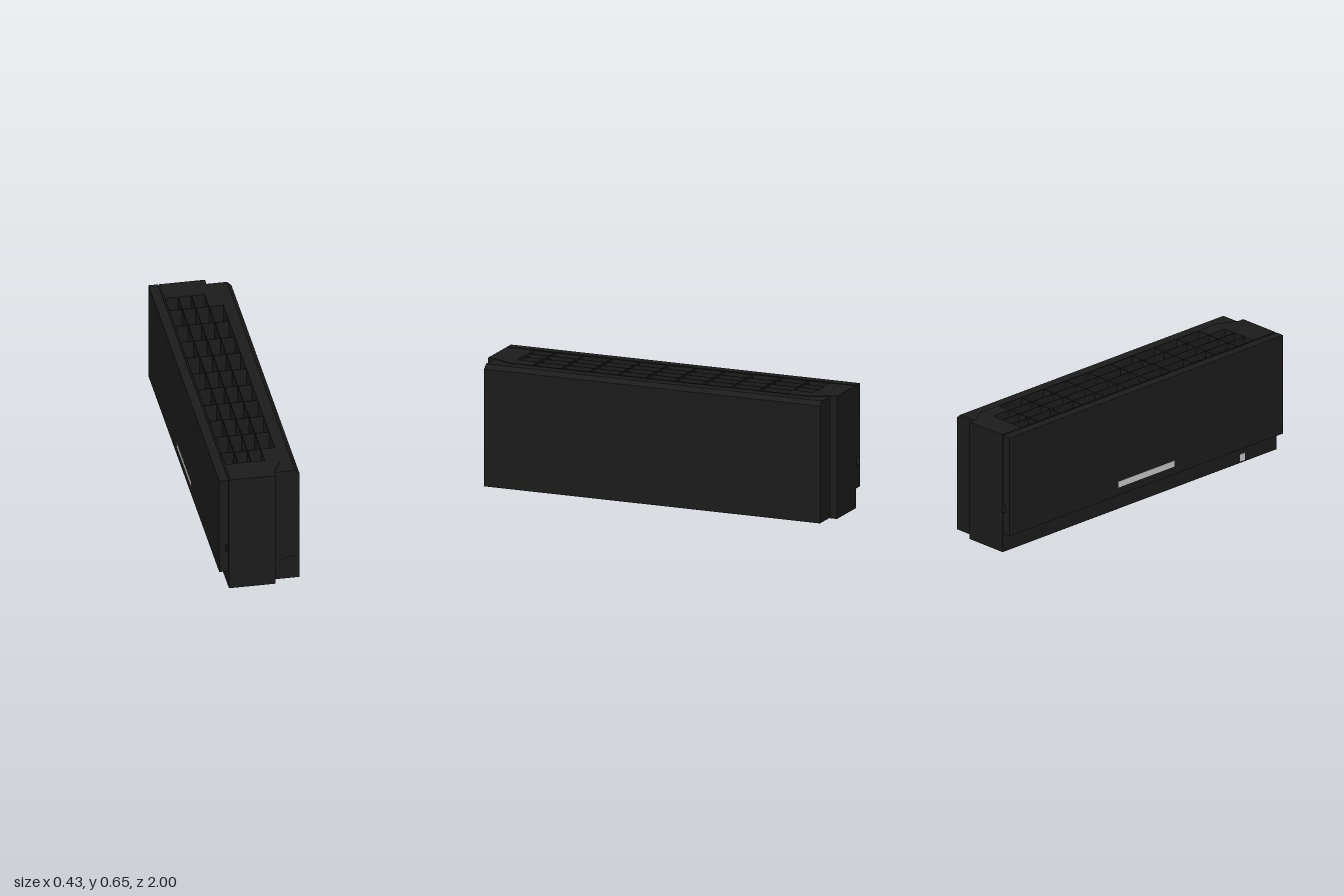
import * as THREE from 'three';

const dark = new THREE.MeshStandardMaterial({ color: 0x1c1c1c, flatShading: true });
const pale = new THREE.MeshStandardMaterial({ color: 0xcccccc });

export function createModel() {
  const model = new THREE.Group();

  const add = (name, geometry, material = dark) => {
    const mesh = new THREE.Mesh(geometry, material);
    mesh.name = name;
    model.add(mesh);
    return mesh;
  };

  // Box given by its extents on each axis
  const block = (name, [x0, x1], [y0, y1], [z0, z1], material) => {
    const mesh = add(name, new THREE.BoxGeometry(x1 - x0, y1 - y0, z1 - z0), material);
    mesh.position.set((x0 + x1) / 2, (y0 + y1) / 2, (z0 + z1) / 2);
    return mesh;
  };

  const toShape = (pts) => new THREE.Shape(pts.map(([a, b]) => new THREE.Vector2(a, b)));
  const extrude = (shape, depth) =>
    new THREE.ExtrudeGeometry(shape, { depth, bevelEnabled: false, curveSegments: 16 });

  // Plan outline of [x, z] points raised from y0 to y1
  const plan = (name, pts, y0, y1, hole) => {
    const flip = (list) => list.map(([x, z]) => [x, -z]);
    const shape = toShape(flip(pts));
    if (hole) shape.holes.push(toShape(flip(hole)));
    add(name, extrude(shape, y1 - y0).rotateX(-Math.PI / 2).translate(0, y0, 0));
  };

  // Cross-section of [x, y] points run along z, centred
  const section = (name, pts, length) =>
    add(name, extrude(toShape(pts), length).translate(0, 0, -length / 2));

  const TOP = 0.655, FLOOR = 0.55, END = 0.982, SHELL_END = 0.945;

  // Main body under the deck, with the small chamfered rim beside the panel
  block('body', [-0.163, 0.082], [0.002, FLOOR], [-END, END]);
  section('chamferedRim', [
    [-0.163, FLOOR], [-0.155, FLOOR], [-0.155, TOP], [-0.163, 0.646],
  ], END * 2);

  // Top deck with the stepped opening for the grille
  plan('topDeck', [
    [-0.155, END], [0.082, END], [0.082, 0.945], [0.135, 0.84],
    [0.135, -0.85], [0.082, -0.945], [0.082, -END], [-0.155, -END],
  ], FLOOR, TOP, [
    [-0.153, 0.825], [0.055, 0.825], [0.055, 0.71], [0.129, 0.71],
    [0.129, -0.72], [0.055, -0.72], [0.055, -0.84], [-0.153, -0.84],
  ]);

  // Grille: lengthwise bars and evenly spaced cross bars
  const t = 0.002, barY = [FLOOR, TOP - 0.001];
  for (const x of [-0.085, -0.015])
    block('grilleLongBar', [x - t, x + t], barY, [-0.84, 0.825]);
  block('grilleLongBar', [0.055 - t, 0.055 + t], barY, [-0.72, 0.71]);
  for (let i = 0; i < 10; i++) {
    const z = -0.72 + i * 0.1589;
    const right = i === 0 || i === 9 ? 0.055 : 0.129;
    block('grilleCrossBar', [-0.153, right], barY, [z - t, z + t]);
  }

  // Side shell: lower block, bevelled upper rail and the corner fillers
  block('sideShell', [0.082, 0.214], [0.006, FLOOR], [-SHELL_END, SHELL_END]);
  section('shellTopRail', [
    [0.135, FLOOR], [0.214, FLOOR], [0.214, 0.63], [0.19, 0.652], [0.135, 0.652],
  ], SHELL_END * 2);
  plan('shellCornerFront', [[0.082, SHELL_END], [0.135, SHELL_END], [0.135, 0.84]], FLOOR, 0.652);
  plan('shellCornerBack', [[0.082, -SHELL_END], [0.135, -0.85], [0.135, -SHELL_END]], FLOOR, 0.652);

  // Rounded cover plate low on the front end of the shell
  const cover = new THREE.Shape();
  cover.moveTo(0.213, 0.035);
  cover.lineTo(0.213, 0.137);
  cover.bezierCurveTo(0.155, 0.137, 0.105, 0.128, 0.105, 0.086);
  cover.bezierCurveTo(0.105, 0.044, 0.155, 0.035, 0.213, 0.035);
  add('endCover', extrude(cover, 0.003).translate(0, 0, SHELL_END - 0.001));

  // Separate front panel on the other side, with a narrow gap to the body
  block('sidePanel', [-0.214, -0.1645], [0.106, TOP], [-END, END]);
  block('panelStrip', [-0.2155, -0.2135], [0.15, 0.183], [-0.2, 0.2], pale);
  block('bodyTab', [-0.165, -0.162], [0.01, 0.05], [0.72, 0.755], pale);

  // Small rounded latch on each end of the panel
  for (const side of [-1, 1]) {
    const latch = add('panelLatch', new THREE.CapsuleGeometry(0.005, 0.036, 4, 10));
    latch.scale.z = 3.2;
    latch.position.set(-0.176, 0.251, side * 0.984);
  }

  return model;
}
